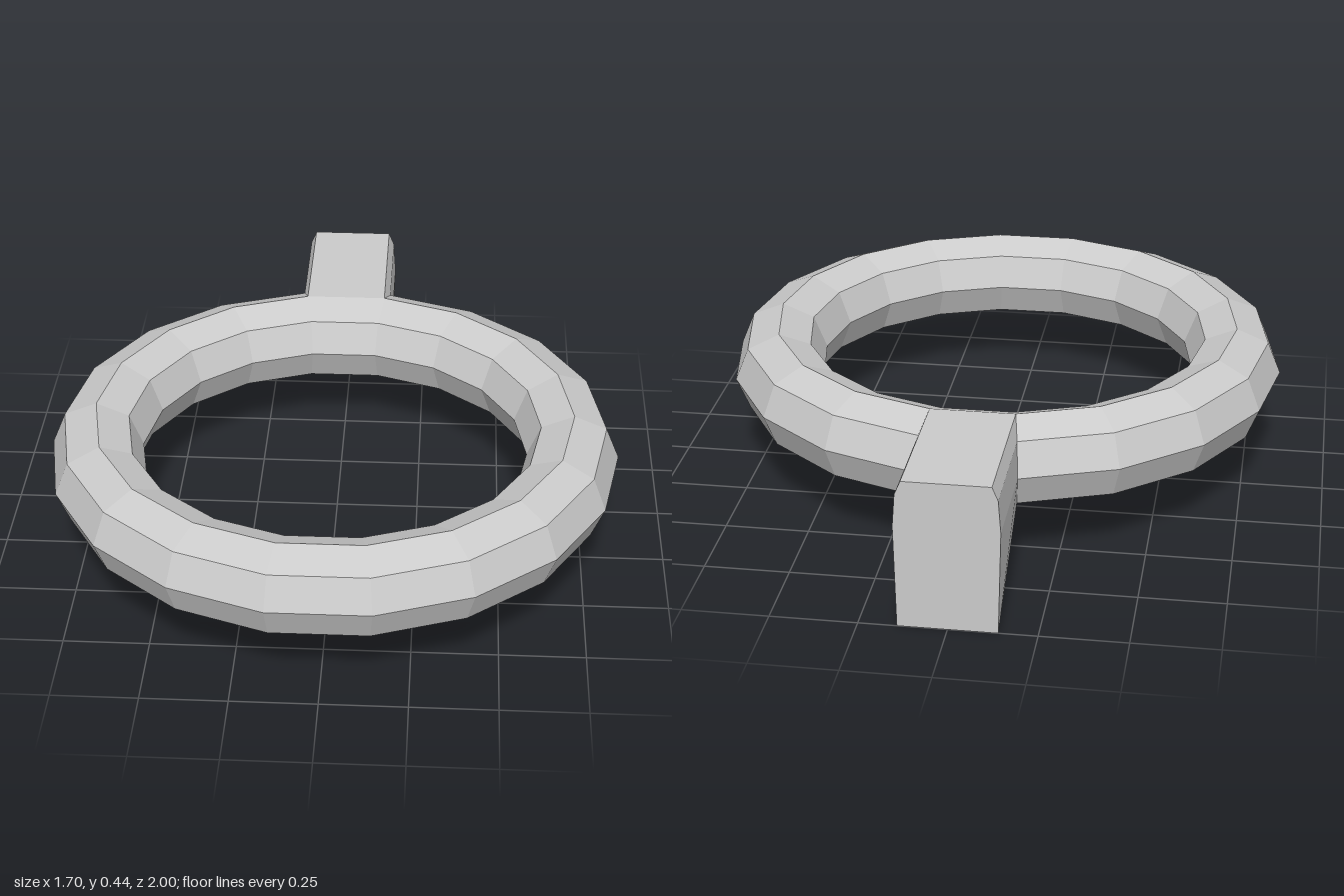
import * as THREE from 'three';

const R = 0.713, TUBE = 0.137, SEGMENTS = 18, SIDES = 8;
const CENTER_Y = 0.308, CENTER_Z = 0.163, BACK_Z = -1;

// Faceted ring, left open where the bracket grows out of its back segment
function createRing() {
  const geometry = new THREE.TorusGeometry(R, TUBE, SIDES, SEGMENTS);
  const openRows = [0, 1, SIDES - 1], backSegment = 4;
  const index = Array.from(geometry.index.array).filter((_, k) => {
    const quad = Math.floor(k / 6);
    return !(quad % SEGMENTS === backSegment && openRows.includes(Math.floor(quad / SEGMENTS)));
  });
  geometry.setIndex(index);
  geometry.rotateX(-Math.PI / 2);
  geometry.translate(0, CENTER_Y, CENTER_Z);
  return geometry;
}

// Bracket: the outer ring facets drawn straight back, with the lower edge dropped to the floor
function createBracket() {
  const half = Math.PI / SEGMENTS;
  const near = [90, 45, 0, -45].map((deg) => {
    const v = THREE.MathUtils.degToRad(deg);
    const r = R + TUBE * Math.cos(v);
    return [r * Math.sin(half), CENTER_Y + TUBE * Math.sin(v), CENTER_Z - r * Math.cos(half)];
  });
  const far = near.map(([x, y], i) => [x, i === 3 ? 0 : y, BACK_Z]);
  const mirror = ([x, y, z]) => [-x, y, z];
  const positions = [];
  const quad = (a, b, c, d) => positions.push(...a, ...b, ...c, ...a, ...c, ...d);

  for (let i = 0; i < 3; i++) {
    const [a, b, c, d] = [near[i], far[i], far[i + 1], near[i + 1]];
    quad(a, d, c, b);                                        // +x side
    quad(...[a, b, c, d].map(mirror));                       // -x side
    quad(b, c, mirror(c), mirror(b));                        // back face
  }
  quad(near[0], far[0], mirror(far[0]), mirror(near[0]));    // top
  quad(near[3], mirror(near[3]), mirror(far[3]), far[3]);    // sloping underside

  const geometry = new THREE.BufferGeometry();
  geometry.setAttribute('position', new THREE.Float32BufferAttribute(positions, 3));
  geometry.computeVertexNormals();
  return geometry;
}

export function createModel() {
  const material = new THREE.MeshStandardMaterial({
    color: 0xcccccc, flatShading: true, side: THREE.DoubleSide,
  });
  const group = new THREE.Group();
  const parts = { ring: createRing(), wallBracket: createBracket() };
  for (const [name, geometry] of Object.entries(parts)) {
    const mesh = new THREE.Mesh(geometry, material);
    mesh.name = name;
    group.add(mesh);
  }
  return group;
}
